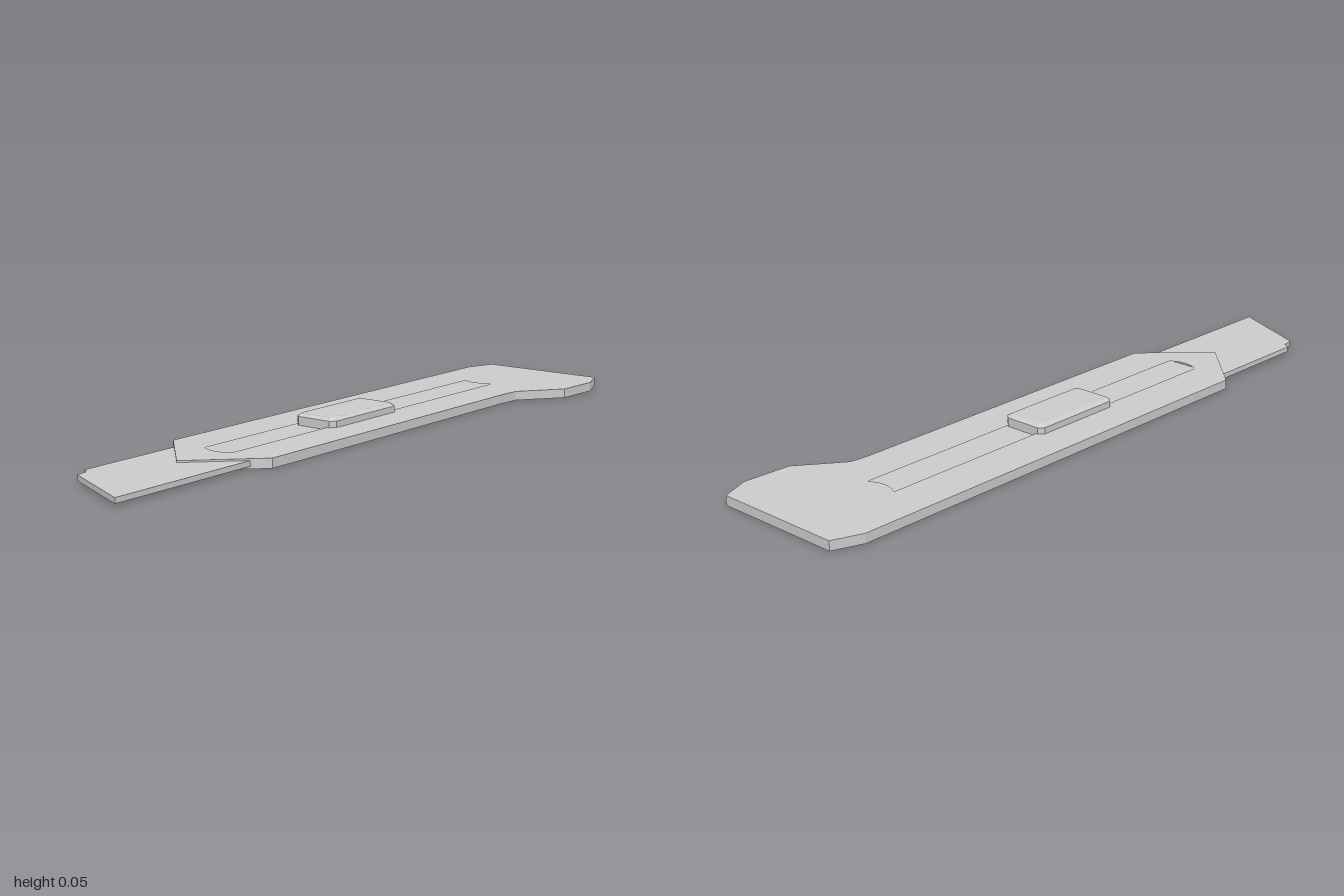
import * as THREE from 'three';

const material = new THREE.MeshStandardMaterial({ color: 0xcccccc, flatShading: true });

// Outlines are given as [x, z] and lie flat once extruded upwards.
const toPoints = (outline) => outline.map(([x, z]) => new THREE.Vector2(x, -z));

// Plate with the given outline between two heights, optionally with a hole or bevel.
function plate(name, outline, bottom, top, { hole, bevel } = {}) {
  const shape = new THREE.Shape(toPoints(outline));
  if (hole) shape.holes.push(new THREE.Path(toPoints(hole)));
  const rise = bevel ? bevel.rise : 0;
  const geometry = new THREE.ExtrudeGeometry(shape, {
    depth: top - bottom - 2 * rise,
    bevelEnabled: !!bevel,
    bevelThickness: rise,
    bevelSize: bevel ? bevel.inset : 0,
    bevelSegments: 1,
  });
  geometry.rotateX(-Math.PI / 2);
  geometry.translate(0, bottom + rise, 0);
  const mesh = new THREE.Mesh(geometry, material);
  mesh.name = name;
  return mesh;
}

// Rectangle with cut corners
function cutRectangle(x0, x1, z0, z1, c) {
  return [
    [x0 + c, z0], [x1 - c, z0], [x1, z0 + c], [x1, z1 - c],
    [x1 - c, z1], [x0 + c, z1], [x0, z1 - c], [x0, z0 + c],
  ];
}

// Slot whose two ends both bow towards the blade
function slotOutline(x0, x1, z0, z1, bow, steps = 6) {
  const end = (z) => Array.from({ length: steps + 1 }, (_, i) => {
    const t = i / steps;
    return [x0 + (x1 - x0) * t, z + bow * 4 * t * (1 - t)];
  });
  return [...end(z0), ...end(z1).reverse()];
}

export function createModel() {
  const group = new THREE.Group();
  group.name = 'utilityKnife';

  // Handle: solid lower half and slotted upper half
  const handle = [
    [-0.195, -1], [0.19, -1], [0.224, -0.915], [0.217, -0.775],
    [0.122, -0.65], [0.117, -0.6], [0.117, 0.48], [-0.055, 0.65],
    [-0.227, 0.48], [-0.227, -0.915],
  ];
  const slot = slotOutline(-0.1, -0.005, -0.705, 0.495, 0.015);
  group.add(plate('handleBase', handle, 0, 0.02));
  group.add(plate('handleTop', handle, 0.02, 0.027, { hole: slot }));

  // Blade with slanted tip and a small notch on its back
  const blade = [
    [-0.183, 0.515], [0.077, 0.515], [0.077, 1],
    [-0.157, 0.895], [-0.163, 0.86], [-0.183, 0.845],
  ];
  group.add(plate('blade', blade, 0.007, 0.022));

  // Thumb slider, bevelled on top; its lower bevel is sunk in the handle
  const slider = cutRectangle(-0.108, 0.005, -0.178, 0.093, 0.007);
  group.add(plate('slider', slider, 0.012, 0.053, { bevel: { rise: 0.008, inset: 0.012 } }));

  return group;
}
